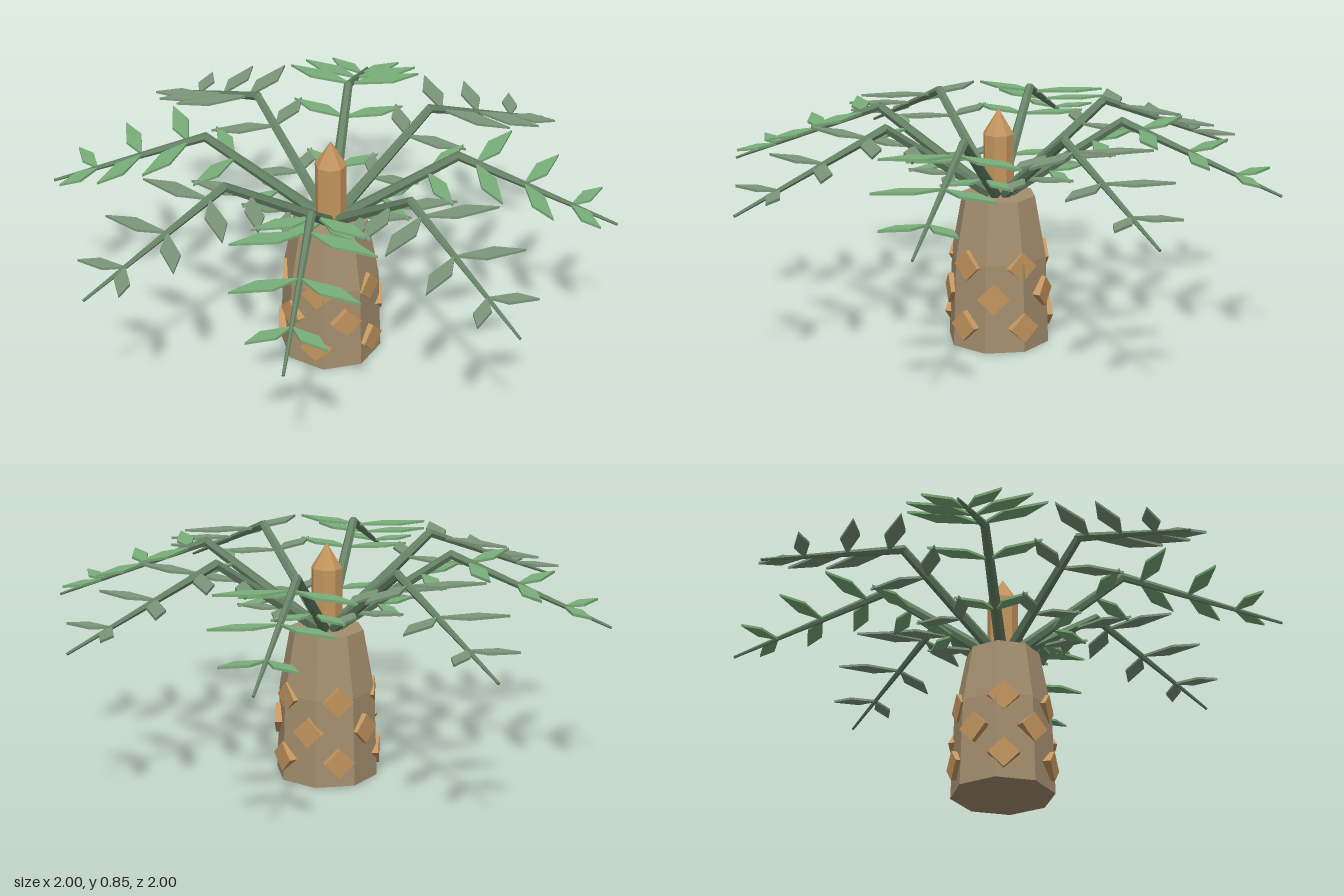
import * as THREE from 'three';

const mat = (name, color) => {
  const m = new THREE.MeshStandardMaterial({ color, flatShading: true });
  m.name = name;
  return m;
};

export function createModel() {
  const bark = mat('bark', 0xa48e6e);
  const scaleMat = mat('scale and bud tan', 0xc4965f);
  const stemMat = mat('stem green', 0x678467);
  const brightLeaf = mat('bright leaf green', 0x7aae7a);
  const greyLeaf = mat('grey leaf green', 0x7d977b);

  const model = new THREE.Group();
  model.name = 'palmPlant';
  const add = (parent, name, geometry, material) => {
    const mesh = new THREE.Mesh(geometry, material);
    mesh.name = name;
    parent.add(mesh);
    return mesh;
  };
  const profile = (points, sides) =>
    new THREE.LatheGeometry(points.map(([r, y]) => new THREE.Vector2(r, y)), sides);

  // Eight-sided trunk that tapers above a bend
  add(model, 'trunk', profile([[0, 0], [0.185, 0], [0.174, 0.32], [0.133, 0.54], [0, 0.54]], 8), bark);

  // Central bud with a pointed tip
  add(model, 'bud', profile([[0, 0.5], [0.056, 0.5], [0.056, 0.76], [0, 0.85]], 8), scaleMat);

  // Three staggered rings of five diamond scales
  const scaleGeo = new THREE.BoxGeometry(0.078, 0.078, 0.03);
  scaleGeo.rotateZ(Math.PI / 4);
  [[0.09, 0.174, 0], [0.2, 0.169, 0.5], [0.31, 0.157, 0]].forEach(([y, r, shift]) => {
    for (let i = 0; i < 5; i++) {
      const a = ((i + shift) / 5) * Math.PI * 2;
      const scale = add(model, 'trunkScale', scaleGeo, scaleMat);
      scale.position.set(r * Math.cos(a), y, r * Math.sin(a));
      scale.rotation.y = Math.PI / 2 - a;
    }
  });

  // Tapered stem piece between two points
  const stemPiece = (from, to, r0, r1) => {
    const a = new THREE.Vector3(...from), b = new THREE.Vector3(...to);
    const dir = b.clone().sub(a);
    const geo = new THREE.CylinderGeometry(r1, r0, dir.length(), 6);
    geo.applyQuaternion(new THREE.Quaternion().setFromUnitVectors(
      new THREE.Vector3(0, 1, 0), dir.normalize()));
    const mid = a.add(b).multiplyScalar(0.5);
    return geo.translate(mid.x, mid.y, mid.z);
  };
  const lowerStem = stemPiece([0, 0.52, 0], [0.445, 0.833, 0], 0.022, 0.016);
  const upperStem = stemPiece([0.435, 0.832, 0], [1, 0.603, 0], 0.016, 0.005);

  // Flat horizontal diamond leaflet reaching forward and to one side
  const leafGeo = (reach, width) => {
    const length = Math.hypot(reach, width), half = 0.018 + length * 0.06;
    const shape = new THREE.Shape();
    shape.moveTo(0, 0);
    shape.lineTo(length * 0.42, -half);
    shape.lineTo(length, 0);
    shape.lineTo(length * 0.58, half);
    shape.closePath();
    const geo = new THREE.ExtrudeGeometry(shape, { depth: 0.009, bevelEnabled: false });
    geo.translate(0, 0, -0.0045);
    geo.rotateX(-Math.PI / 2);
    return geo.rotateY(Math.atan2(width, reach));
  };
  // Each row: distance along the frond, height, forward reach, side reach
  const leaves = [
    [0.18, 0.637, 0.11, 0.13], [0.335, 0.755, 0.11, 0.2], [0.5, 0.803, 0.11, 0.24],
    [0.67, 0.737, 0.11, 0.21], [0.835, 0.667, 0.105, 0.13],
  ].map(([x, y, reach, width]) => ({ x, y, geo: leafGeo(reach, width) }));

  // Eight drooping fronds, alternating in leaf colour
  for (let i = 0; i < 8; i++) {
    const frond = new THREE.Group();
    frond.name = 'frond';
    add(frond, 'lowerStem', lowerStem, stemMat);
    add(frond, 'upperStem', upperStem, stemMat);
    for (const { x, y, geo } of leaves) {
      for (const side of [1, -1]) {
        const leaf = add(frond, 'leaflet', geo, i % 2 ? brightLeaf : greyLeaf);
        leaf.position.set(x, y, 0);
        leaf.scale.z = side;
      }
    }
    frond.rotation.y = (i * Math.PI) / 4;
    model.add(frond);
  }
  return model;
}
